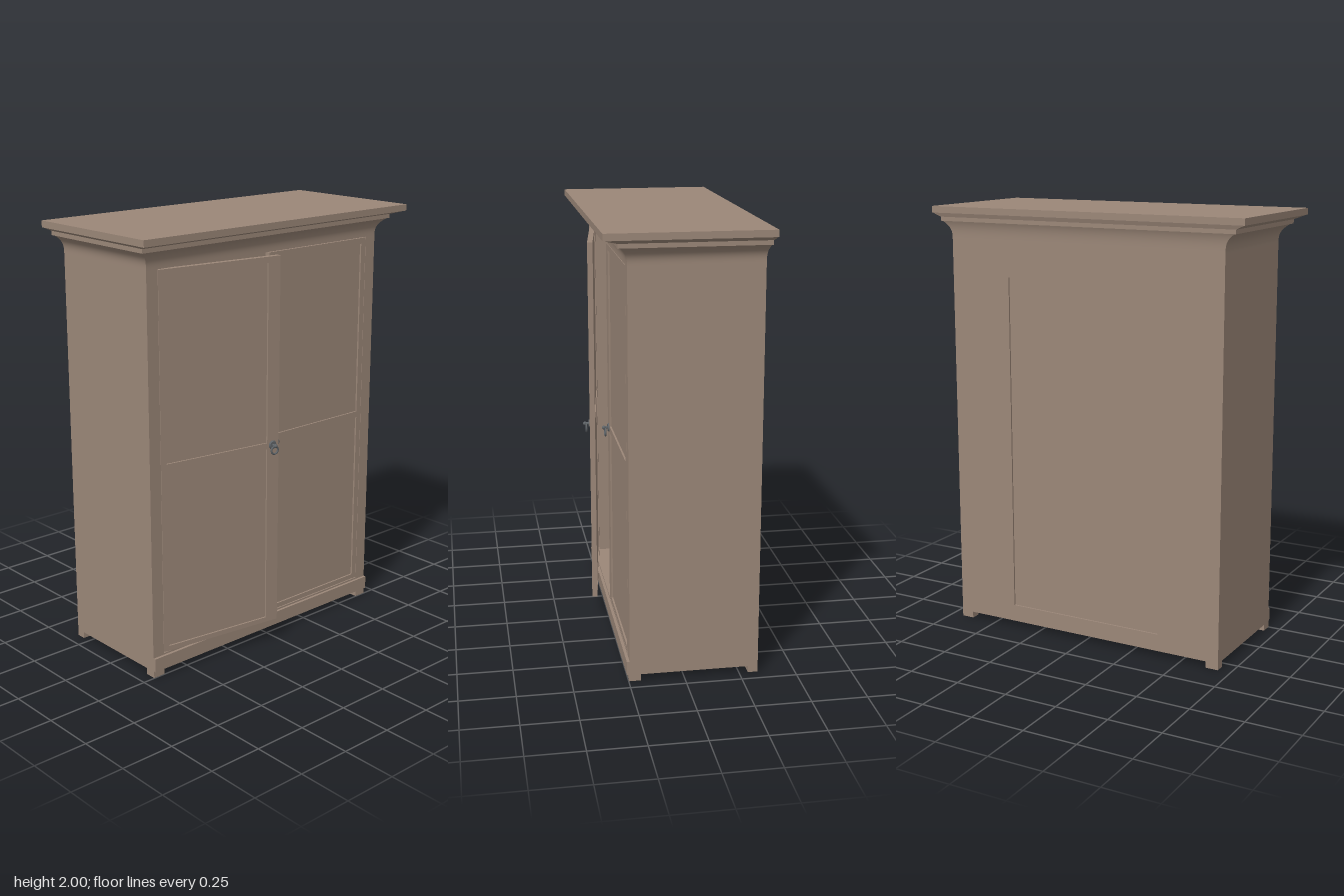
import * as THREE from 'three';

const wood = new THREE.MeshStandardMaterial({ color: 0x9b8778, side: THREE.DoubleSide });
const iron = new THREE.MeshStandardMaterial({ color: 0x5f6468 });

function add(parent, name, geometry, material = wood) {
  const mesh = new THREE.Mesh(geometry, material);
  mesh.name = name;
  parent.add(mesh);
  return mesh;
}

// box given by its limits
function box(parent, name, x0, x1, y0, y1, z0, z1) {
  const mesh = add(parent, name, new THREE.BoxGeometry(x1 - x0, y1 - y0, z1 - z0));
  mesh.position.set((x0 + x1) / 2, (y0 + y1) / 2, (z0 + z1) / 2);
  return mesh;
}

// board with rectangular openings, lying between z0 and z1
function framedBoard(parent, name, outer, holes, z0, z1) {
  const corners = ([x0, x1, y0, y1]) =>
    [[x0, y0], [x1, y0], [x1, y1], [x0, y1]].map(p => new THREE.Vector2(...p));
  const shape = new THREE.Shape(corners(outer));
  holes.forEach(h => shape.holes.push(new THREE.Path(corners(h))));
  const geometry = new THREE.ExtrudeGeometry(shape, { depth: z1 - z0, bevelEnabled: false });
  return add(parent, name, geometry.translate(0, 0, z0));
}

// stack of rectangles [y, halfWidth, zFront, zBack]: sides smooth upwards, corners sharp
function moulding(parent, name, rings) {
  const pos = [], idx = [];
  const corner = ([y, w, f, b], k) => [[w, y, f], [w, y, b], [-w, y, b], [-w, y, f]][k % 4];
  for (let k = 0; k < 4; k++) {
    const base = pos.length / 3;
    rings.forEach(r => pos.push(...corner(r, k), ...corner(r, k + 1)));
    for (let i = 0; i < rings.length - 1; i++) {
      const a = base + 2 * i;
      idx.push(a, a + 1, a + 3, a, a + 3, a + 2);
    }
  }
  // bottom and top caps
  [rings[0], rings[rings.length - 1]].forEach((r, top) => {
    const c = pos.length / 3;
    for (let k = 0; k < 4; k++) pos.push(...corner(r, k));
    if (top) idx.push(c, c + 1, c + 2, c, c + 2, c + 3);
    else idx.push(c, c + 2, c + 1, c, c + 3, c + 2);
  });
  const geometry = new THREE.BufferGeometry();
  geometry.setAttribute('position', new THREE.Float32BufferAttribute(pos, 3));
  geometry.setIndex(idx);
  geometry.computeVertexNormals();
  return add(parent, name, geometry);
}

// rosette with a hanging ring
function pull() {
  const group = new THREE.Group();
  group.name = 'ringPull';
  add(group, 'rosette', new THREE.CylinderGeometry(0.017, 0.021, 0.006, 20).rotateX(Math.PI / 2), iron)
    .position.set(0, 0.012, 0.003);
  add(group, 'stem', new THREE.CylinderGeometry(0.006, 0.006, 0.022, 12).rotateX(Math.PI / 2), iron)
    .position.set(0, 0.012, 0.014);
  add(group, 'stemKnob', new THREE.SphereGeometry(0.009, 14, 10), iron).position.set(0, 0.012, 0.024);
  add(group, 'ring', new THREE.TorusGeometry(0.018, 0.0045, 8, 24), iron).position.set(0, -0.009, 0.017);
  return group;
}

// door hinged at its local origin, extending towards dir
function door(name, dir) {
  const group = new THREE.Group();
  group.name = name;
  const span = (a, b) => (dir > 0 ? [a, b] : [-b, -a]);
  framedBoard(group, 'doorFrame', [...span(0.002, 0.627), 0.107, 1.847], [
    [...span(0.03, 0.563), 0.13, 0.965],
    [...span(0.03, 0.563), 0.995, 1.82],
  ], -0.025, 0);
  const [x0, x1] = span(0.025, 0.57);
  box(group, 'doorPanel', x0, x1, 0.125, 1.825, -0.02, -0.008);
  const handle = pull();
  handle.position.set(dir * 0.593, 0.97, 0);
  group.add(handle);
  group.position.set(-dir * 0.63, 0, 0.245);
  return group;
}

export function createModel() {
  const model = new THREE.Group();
  model.name = 'wardrobe';

  // hollow carcass
  for (const s of [-1, 1]) {
    const side = box(model, 'sideWall', 0.63, 0.69, 0.03, 1.85, -0.335, 0.245);
    side.position.x *= s;
  }
  box(model, 'floor', -0.63, 0.63, 0.03, 0.103, -0.31, 0.245);
  framedBoard(model, 'backFrame', [-0.63, 0.63, 0.03, 1.85], [[-0.386, 0.386, 0.11, 1.69]], -0.335, -0.31);
  box(model, 'backPanel', -0.39, 0.39, 0.105, 1.695, -0.327, -0.312);

  // plinth and feet
  box(model, 'plinth', -0.69, 0.69, 0.032, 0.095, 0.24, 0.258);
  for (const x of [-0.66, 0.66]) {
    for (const [z0, z1] of [[0.195, 0.248], [-0.335, -0.29]]) {
      box(model, 'foot', x - 0.03, x + 0.03, 0, 0.032, z0, z1);
    }
  }

  // cornice: cove, lip, bevel and top board
  const cove = [];
  for (let i = 0; i <= 12; i++) {
    const t = i / 12, out = t ** 3;
    cove.push([1.85 + 0.083 * t, 0.69 + 0.045 * out, 0.245 + 0.037 * out, -0.335 - 0.012 * out]);
  }
  moulding(model, 'corniceCove', cove);
  moulding(model, 'corniceLip', [[1.933, 0.743, 0.29, -0.35], [1.952, 0.743, 0.29, -0.35]]);
  moulding(model, 'corniceBevel', [[1.952, 0.743, 0.29, -0.352], [1.97, 0.782, 0.352, -0.358]]);
  box(model, 'topBoard', -0.785, 0.785, 1.97, 2, -0.36, 0.355);

  // one door ajar, one shut
  const ajar = door('rightDoor', 1);
  ajar.rotation.y = -0.136;
  model.add(ajar, door('leftDoor', -1));

  return model;
}
